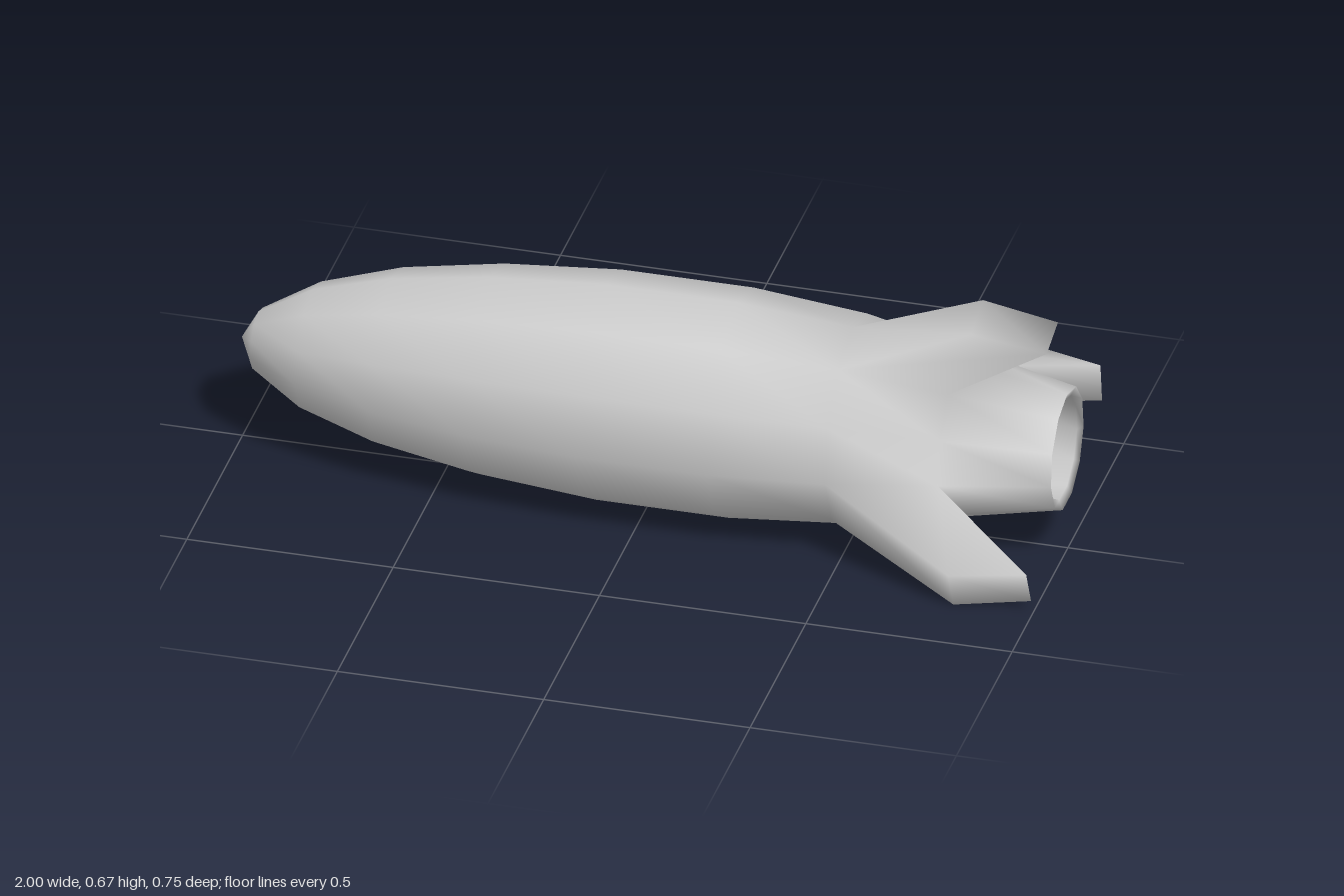
import * as THREE from 'three';

const SIDES = 11;
const CY = 0.274, CZ = 0.006; // long axis of the hull

// [x, radius]: outer skin from nose to nozzle rim, then the inner skin back to the nose
const OUTER = [[-0.96, 0.074], [-0.83, 0.153], [-0.64, 0.212], [-0.4, 0.2525], [-0.12, 0.2755],
  [0.2, 0.2755], [0.48, 0.251], [0.74, 0.2], [1, 0.148]];
const INNER = [[0.99, 0.125], [0.73, 0.177], [0.47, 0.228], [0.2, 0.253], [-0.12, 0.253],
  [-0.4, 0.231], [-0.63, 0.192], [-0.82, 0.135], [-0.94, 0.06]];
const FIN_RING = 6; // fins grow from the hull faces between this ring and the next

// hull face each fin grows from, tip distance from the axis, sideways lean of the tip
const FINS = [
  { face: 0, radius: 0.402, lean: -0.007 },
  { face: 3, radius: 0.402, lean: 0.057 },
  { face: 8, radius: 0.372, lean: -0.063 },
];

export function createModel() {
  const pos = [], index = [];
  const add = (x, y, z) => pos.push(x, y, z) / 3 - 1;
  const quad = (a, b, c, d) => index.push(a, b, c, a, c, d);

  // point at distance r from the axis along angle a, shifted sideways by t
  const polar = (x, a, r, t = 0) => add(x,
    CY + r * Math.cos(a) - t * Math.sin(a),
    CZ + r * Math.sin(a) + t * Math.cos(a));
  const step = (Math.PI * 2) / SIDES;

  const rings = [...OUTER, ...INNER].map(([x, r]) =>
    Array.from({ length: SIDES }, (_, k) => polar(x, k * step, r)));
  const nose = add(-1, CY, CZ);
  const innerNose = add(-0.975, CY, CZ);
  const last = rings.length - 1;

  for (let k = 0; k < SIDES; k++) {
    const n = (k + 1) % SIDES;
    index.push(nose, rings[0][n], rings[0][k]);
    index.push(rings[last][k], rings[last][n], innerNose);
    for (let i = 0; i < last; i++) {
      const base = [rings[i][k], rings[i][n], rings[i + 1][n], rings[i + 1][k]];
      const fin = i === FIN_RING && FINS.find((f) => f.face === k);
      if (!fin) { quad(...base); continue; }

      // swept-back fin drawn out of this hull face
      const a = (k + 0.5) * step;
      const tip = [
        polar(0.81, a, fin.radius, fin.lean - 0.057),
        polar(0.81, a, fin.radius, fin.lean + 0.057),
        polar(0.99, a, fin.radius - 0.036, fin.lean + 0.052),
        polar(0.99, a, fin.radius - 0.036, fin.lean - 0.052),
      ];
      quad(...tip);
      for (let j = 0; j < 4; j++) {
        const m = (j + 1) % 4;
        quad(base[j], base[m], tip[m], tip[j]);
      }
    }
  }

  const geometry = new THREE.BufferGeometry();
  geometry.setAttribute('position', new THREE.Float32BufferAttribute(pos, 3));
  geometry.setIndex(index);
  geometry.computeVertexNormals();

  // hull, fins and nozzle share one smooth skin
  const hull = new THREE.Mesh(geometry, new THREE.MeshStandardMaterial({ color: 0xcccccc }));
  hull.name = 'finnedHull';
  const group = new THREE.Group();
  group.name = 'rocket';
  group.add(hull);
  return group;
}
